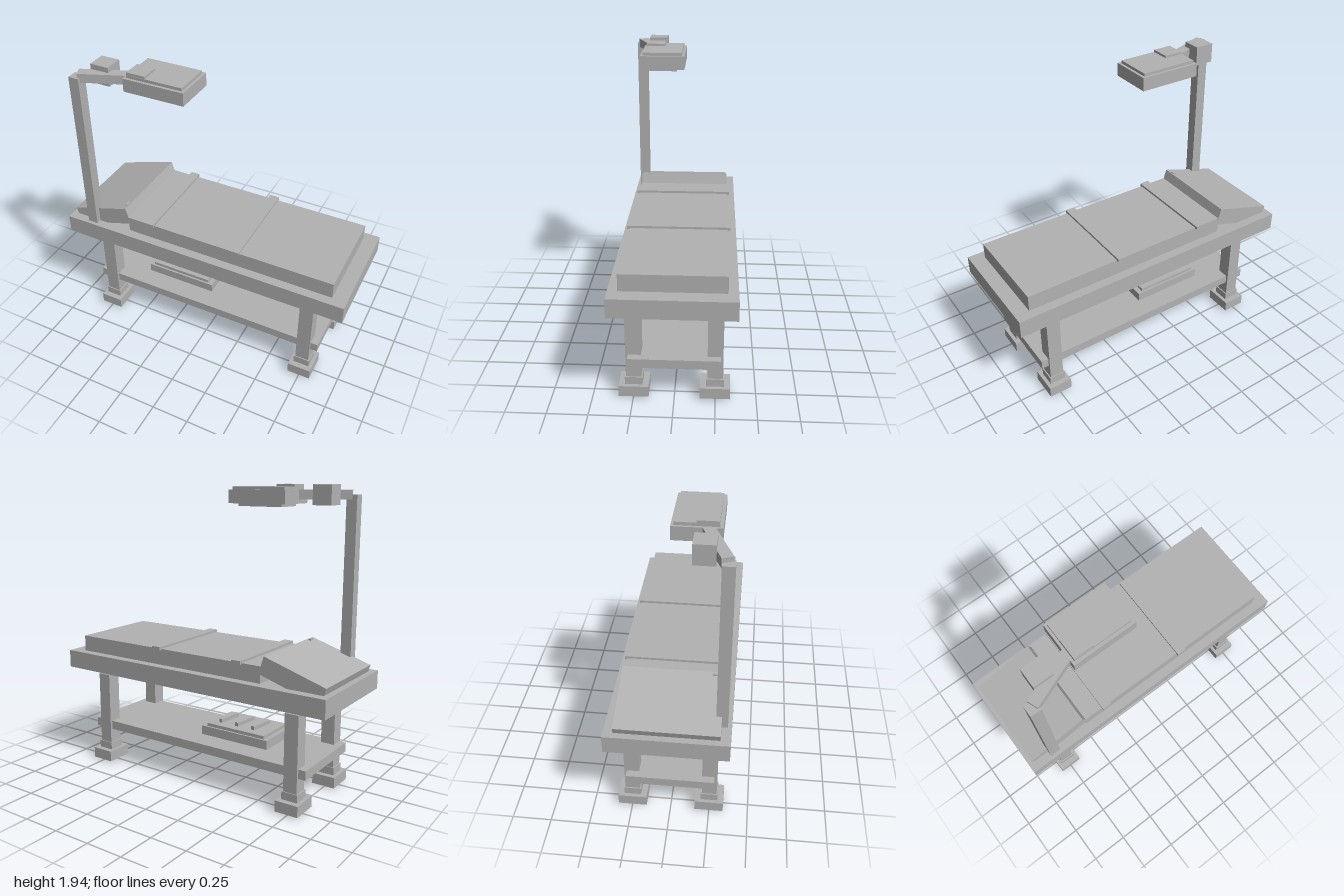
import * as THREE from 'three';

export function createModel() {
  const model = new THREE.Group();
  model.name = 'treatmentTable';
  const grey = new THREE.MeshStandardMaterial({ color: 0xb2b2b2 });
  grey.name = 'plain grey';

  // Box given by its extents along x, y and z
  function box(name, [x0, x1], [y0, y1], [z0, z1], parent = model) {
    const mesh = new THREE.Mesh(new THREE.BoxGeometry(x1 - x0, y1 - y0, z1 - z0), grey);
    mesh.position.set((x0 + x1) / 2, (y0 + y1) / 2, (z0 + z1) / 2);
    mesh.name = name;
    parent.add(mesh);
    return mesh;
  }
  const around = (c, w) => [c - w / 2, c + w / 2];

  // Top, padding and straps
  box('tableTop', [-1, 1], [0.665, 0.785], [-0.372, 0.372]);
  box('mattress', [-0.54, 0.905], [0.785, 0.892], [-0.312, 0.312]);
  for (const x of [-0.375, 0.247]) {
    box('strap', around(x, 0.066), [0.885, 0.907], [-0.328, 0.328]);
  }

  // Sloping headrest with a small peg near its raised edge
  const headrest = box('headrest', around(-0.75, 0.431), around(0.837, 0.118), [-0.312, 0.312]);
  headrest.rotation.z = 0.3;
  box('headrestPeg', [-0.588, -0.572], [0.9, 0.96], [0.235, 0.27]);

  // Legs with collars and feet
  for (const x of [-0.748, 0.748]) {
    for (const z of [-0.248, 0.248]) {
      const leg = new THREE.Group();
      leg.name = 'leg';
      model.add(leg);
      box('legPost', around(x, 0.092), [0, 0.63], around(z, 0.095), leg);
      box('legCollar', around(x, 0.108), [0.08, 0.133], around(z, 0.108), leg);
      box('foot', around(x, 0.156), [0.01, 0.082], around(z, 0.184), leg);
    }
  }

  // Lower shelf and the control tray on it
  box('shelf', [-0.842, 0.842], [0.23, 0.29], [-0.28, 0.28]);
  box('trayBase', [-0.5, 0], [0.305, 0.365], [-0.157, 0.157]);
  box('trayTop', [-0.47, -0.035], [0.365, 0.386], [-0.144, 0.144]);
  for (const x of [-0.362, -0.238, -0.113]) {
    box('trayBar', around(x, 0.024), [0.386, 0.411], around(0, 0.175)).rotation.y = -0.12;
  }

  // Lamp post and its angled arm
  box('lampPost', [-0.85, -0.78], [0.785, 1.882], [0.278, 0.348]);
  const arm = box('lampArm', around(-0.64, 0.36), [1.852, 1.91], around(0.24, 0.068));
  arm.rotation.y = 0.375;
  box('armJoint', [-0.755, -0.63], [1.82, 1.944], [0.122, 0.246]);

  // Lamp head
  box('lampHousing', [-0.518, -0.112], [1.825, 1.91], [-0.018, 0.267]);
  box('lampCover', [-0.502, -0.13], [1.91, 1.929], [0, 0.248]);
  box('lampPanel', [-0.466, -0.156], [1.807, 1.825], [0.032, 0.218]);
  box('lampJoint', [-0.502, -0.378], [1.83, 1.944], [0.122, 0.246]);

  return model;
}
